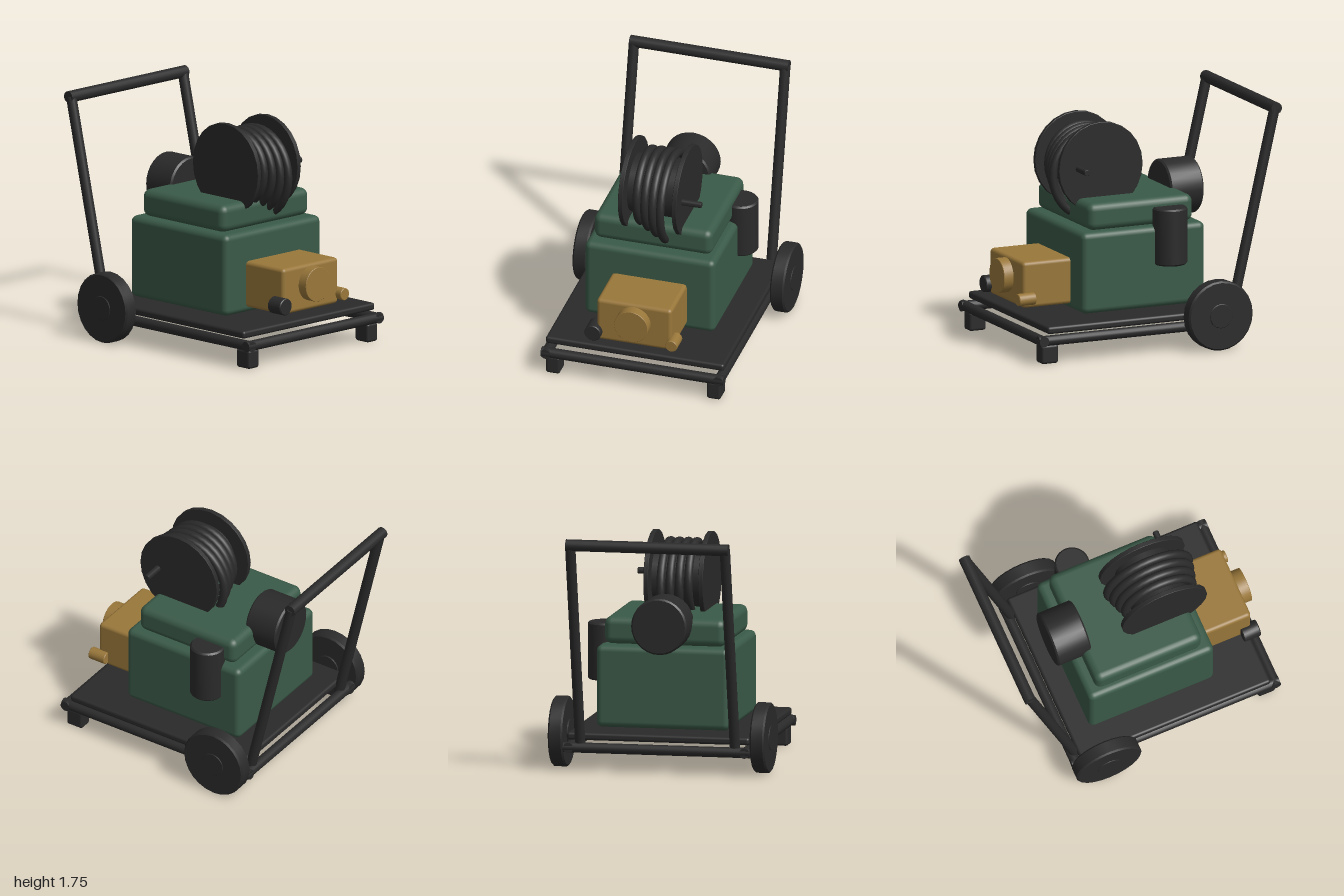
import * as THREE from 'three';
import { toCreasedNormals } from 'three/addons/utils/BufferGeometryUtils.js';
import { RoundedBoxGeometry } from 'three/addons/geometries/RoundedBoxGeometry.js';

export function createModel() {
  const model = new THREE.Group();
  model.name = 'portableCompressor';

  const material = (name, color) => {
    const m = new THREE.MeshStandardMaterial({ color });
    m.name = name;
    return m;
  };
  const dark = material('charcoal', 0x2a2a2a);
  const green = material('machineGreen', 0x3a5a48);
  const ochre = material('ochre', 0x99773a);

  const add = (name, geometry, mat, x = 0, y = 0, z = 0) => {
    const mesh = new THREE.Mesh(geometry, mat);
    mesh.name = name;
    mesh.position.set(x, y, z);
    model.add(mesh);
    return mesh;
  };

  // Softly rounded box given its size and centre
  const box = (name, mat, [w, h, d], [x, y, z], radius) =>
    add(name, new RoundedBoxGeometry(w, h, d, 3, radius), mat, x, y, z);

  // Cylinder with a small bevel, running along the chosen axis
  const drum = (name, mat, axis, radius, length, [x, y, z], bevel = 0.01, sides = 24) => {
    const h = length / 2;
    const profile = [
      [0, -h], [radius - bevel, -h], [radius, -h + bevel],
      [radius, h - bevel], [radius - bevel, h], [0, h],
    ].map(([r, t]) => new THREE.Vector2(r, t));
    const geometry = toCreasedNormals(new THREE.LatheGeometry(profile, sides), 0.6);
    const mesh = add(name, geometry, mat, x, y, z);
    if (axis === 'x') mesh.rotation.z = -Math.PI / 2;
    if (axis === 'z') mesh.rotation.x = Math.PI / 2;
    return mesh;
  };

  // Straight tube between two points
  const bar = (name, from, to, radius) => {
    const a = new THREE.Vector3(...from), b = new THREE.Vector3(...to);
    const dir = b.clone().sub(a);
    const mesh = add(name, new THREE.CylinderGeometry(radius, radius, dir.length(), 16), dark);
    mesh.position.copy(a).add(b).multiplyScalar(0.5);
    mesh.quaternion.setFromUnitVectors(new THREE.Vector3(0, 1, 0), dir.normalize());
  };

  // Tubular base frame and deck
  bar('frontRail', [-0.69, 0.177, 0.945], [0.69, 0.177, 0.945], 0.038);
  bar('backRail', [-0.69, 0.177, -0.62], [0.69, 0.177, -0.62], 0.038);
  box('deck', dark, [1.35, 0.055, 1.5], [0, 0.253, 0.16], 0.02);

  for (const s of [-1, 1]) {
    bar('sideRail', [s * 0.652, 0.177, -0.655], [s * 0.652, 0.177, 0.98], 0.038);
    box('foot', dark, [0.107, 0.14, 0.135], [s * 0.608, 0.075, 0.885], 0.02);
    // Wheel with hub
    drum('wheel', dark, 'x', 0.257, 0.107, [s * 0.746, 0.262, -0.418], 0.012);
    drum('hub', dark, 'x', 0.09, 0.12, [s * 0.744, 0.262, -0.418], 0.004, 20);
    // Leaning handle upright
    bar('handleUpright', [s * 0.572, 0.18, -0.595], [s * 0.572, 1.71, -0.953], 0.038);
  }
  bar('handleGrip', [-0.6, 1.71, -0.956], [0.6, 1.71, -0.956], 0.043);

  // Engine housing and lid
  box('housing', green, [0.985, 0.6, 0.985], [0, 0.6, 0.053], 0.045);
  box('lid', green, [0.895, 0.2, 0.84], [0, 1.0, 0.052], 0.055);

  // Pump block with its ports
  box('pumpBlock', ochre, [0.568, 0.34, 0.41], [0, 0.512, 0.72], 0.028);
  drum('pumpCap', ochre, 'z', 0.127, 0.1, [0, 0.538, 0.95], 0.003, 28);
  drum('outletPort', ochre, 'z', 0.045, 0.135, [0.297, 0.413, 0.909], 0.004, 20);
  drum('inletPort', dark, 'z', 0.062, 0.13, [-0.3, 0.413, 0.905], 0.006, 24);

  // Air filter behind and muffler at the side
  drum('airFilter', dark, 'z', 0.206, 0.265, [0, 1.068, -0.432], 0.012, 28);
  drum('muffler', dark, 'y', 0.127, 0.42, [0.48, 0.825, -0.158], 0.012, 28);

  // Hose reel
  const reelY = 1.315, reelZ = 0.27;
  drum('reelCore', dark, 'x', 0.217, 0.38, [0, reelY, reelZ], 0.002);
  for (const s of [-1, 1]) {
    drum('reelFlange', dark, 'x', 0.335, 0.034, [s * 0.203, reelY, reelZ], 0.003);
  }
  drum('crank', dark, 'x', 0.023, 0.18, [0.278, 1.318, 0.45], 0.003, 14);

  // Hose loops that widen and hang lower towards one side
  for (let i = 0; i < 4; i++) {
    const outer = 0.297 + i * 0.0185, tube = 0.031;
    const loop = add('hoseLoop', new THREE.TorusGeometry(outer - tube, tube, 12, 36), dark,
      -0.098 + i * 0.065, 1.6 - outer, 0.275);
    loop.rotation.y = Math.PI / 2;
  }

  return model;
}
